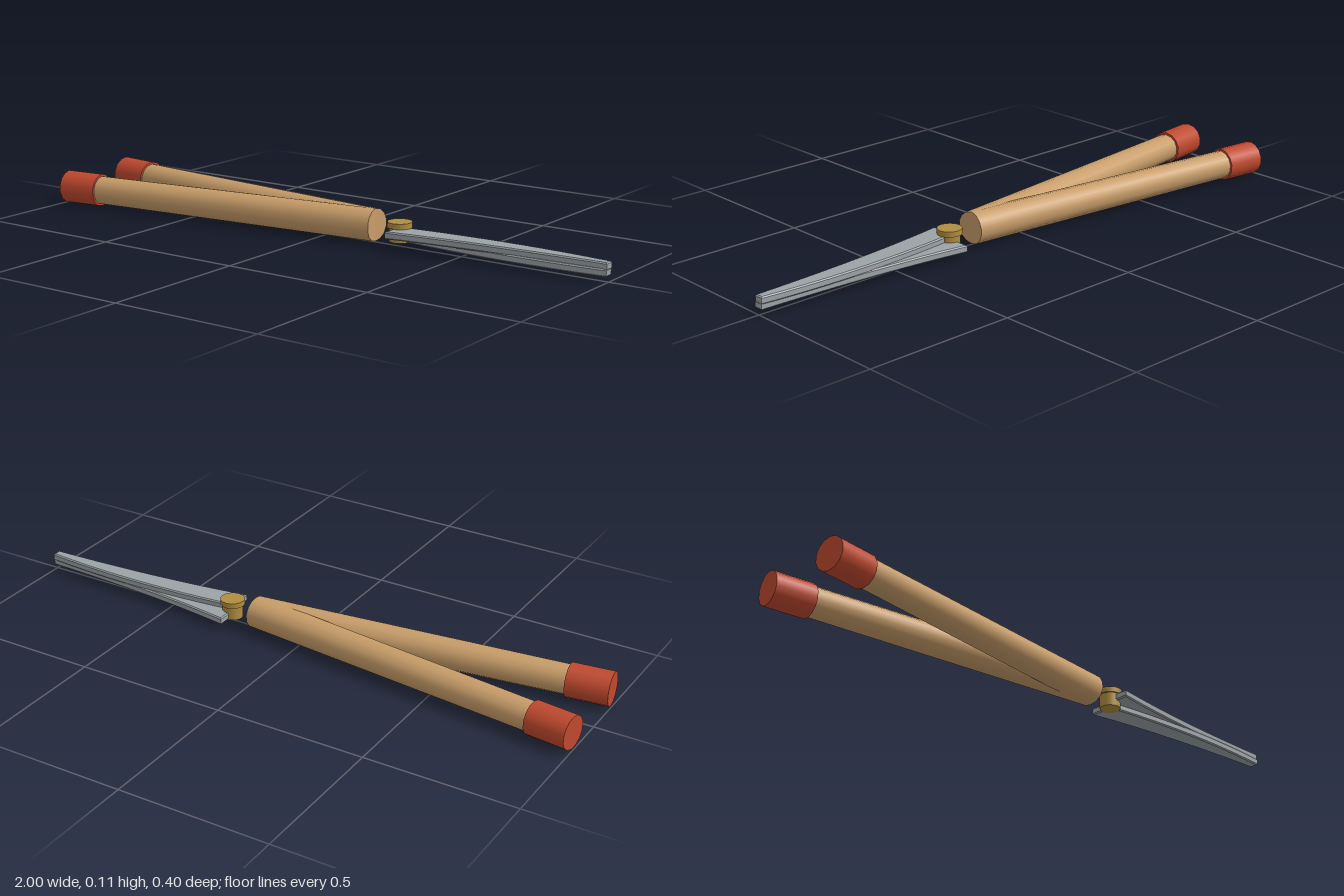
import * as THREE from 'three';

const mat = (name, color, extra = {}) => {
  const m = new THREE.MeshStandardMaterial({ color, ...extra });
  m.name = name;
  return m;
};

export function createModel() {
  const wood = mat('wood', 0xc89d69);
  const rubber = mat('red grip', 0xc0492e);
  const steel = mat('steel', 0x9ca3a7);
  const brass = mat('brass', 0xb08d40);

  const model = new THREE.Group();
  const add = (parent, name, geometry, material) => {
    const mesh = new THREE.Mesh(geometry, material);
    mesh.name = name;
    parent.add(mesh);
    return mesh;
  };

  // Cylinder lying along x, from x0 (radius r0) to x1 (radius r1)
  const rod = (x0, r0, x1, r1) =>
    new THREE.CylinderGeometry(r0, r1, x1 - x0, 14)
      .rotateZ(Math.PI / 2)
      .translate((x0 + x1) / 2, 0, 0);

  for (const side of [1, -1]) {
    const label = side > 0 ? 'front' : 'back';

    // Tapered wooden handle with a red grip, swung out from the pivot end
    const handle = new THREE.Group();
    handle.name = label + 'Handle';
    const length = 1.187;
    add(handle, label + 'Shaft', rod(-length + 0.02, 0.047, 0, 0.053).rotateX(Math.PI / 2), wood);
    add(handle, label + 'Grip', rod(-length, 0.055, -length + 0.137, 0.055).rotateX(Math.PI / 2), rubber);
    handle.position.set(0.183, 0.055, 0);
    handle.rotation.y = side * 0.1225;
    model.add(handle);

    // Curved blade: wide heel on its own side, belly crossing the centre line
    const b = 0.004;
    const s = new THREE.Shape();
    s.moveTo(0.274, side * 0.073);
    s.quadraticCurveTo(0.58, side * 0.022, 0.996, side * 0.010);
    s.lineTo(0.996, side * -0.013);
    s.quadraticCurveTo(0.64, side * -0.05, 0.274, side * -0.004);
    s.closePath();
    const thickness = 0.024;
    const blade = new THREE.ExtrudeGeometry(s, {
      depth: thickness - 2 * b, bevelEnabled: true, bevelThickness: b,
      bevelSize: b, bevelSegments: 1, curveSegments: 12,
    });
    const top = side > 0 ? 0.06 : 0.041;
    blade.rotateX(Math.PI / 2).translate(0, top - b, 0);
    add(model, label + 'Blade', blade, steel);
  }

  // Pivot bolt
  const bolt = new THREE.Group();
  bolt.name = 'pivotBolt';
  bolt.position.x = 0.275;
  add(bolt, 'boltShank', new THREE.CylinderGeometry(0.034, 0.034, 0.05, 16).translate(0, 0.041, 0), brass);
  add(bolt, 'boltHead', new THREE.CylinderGeometry(0.04, 0.04, 0.018, 16).translate(0, 0.07, 0), brass);
  model.add(bolt);

  return model;
}
